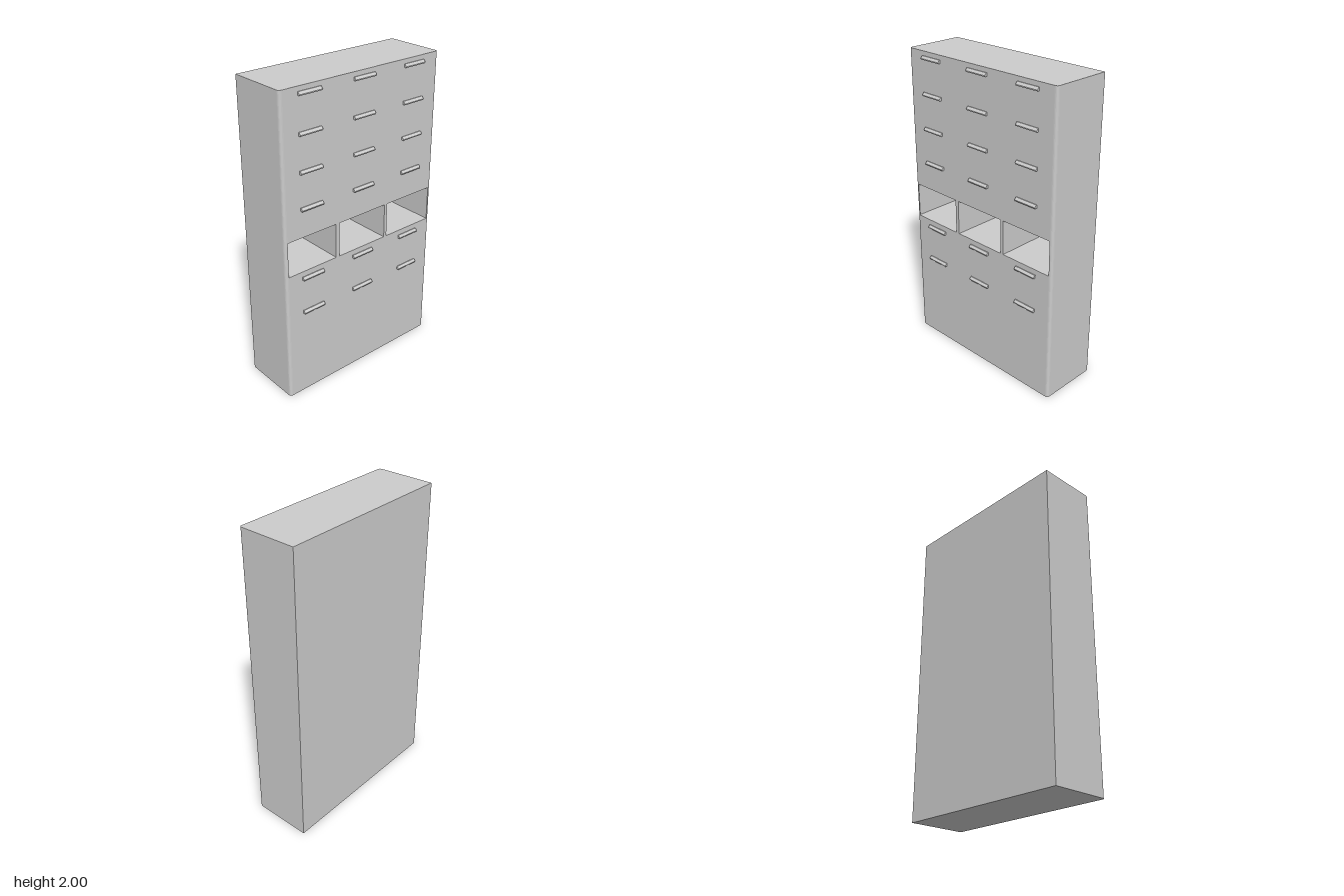
import * as THREE from 'three';

const LEFT = -0.597, RIGHT = 0.595, BACK = -0.205, FRONT = 0.188;
const HEIGHT = 2, NICHE_BOTTOM = 0.87, NICHE_TOP = 1.097, NICHE_BACK = -0.202;
const NICHES = [[-0.583, -0.215], [-0.19, 0.183], [0.205, 0.576]];

const material = new THREE.MeshStandardMaterial({ color: 0xcccccc, flatShading: true });

// Cabinet plan with rounded front corners, optionally notched by the niches.
// Shape y is -z, so that the extrusion can be turned upright.
function planShape(notched) {
  const r = 0.02, s = new THREE.Shape();
  s.moveTo(RIGHT, -BACK);
  s.lineTo(LEFT, -BACK);
  s.lineTo(LEFT, -FRONT + r);
  s.quadraticCurveTo(LEFT, -FRONT, LEFT + r, -FRONT);
  if (notched) {
    for (const [a, b] of NICHES) {
      // keep the outer walls inside the rounded corners
      const x0 = Math.max(a, LEFT + r + 0.001), x1 = Math.min(b, RIGHT - r - 0.001);
      s.lineTo(x0, -FRONT);
      s.lineTo(a, -FRONT + 0.004);
      s.lineTo(a, -NICHE_BACK);
      s.lineTo(b, -NICHE_BACK);
      s.lineTo(b, -FRONT + 0.004);
      s.lineTo(x1, -FRONT);
    }
  }
  s.lineTo(RIGHT - r, -FRONT);
  s.quadraticCurveTo(RIGHT, -FRONT, RIGHT, -FRONT + r);
  s.closePath();
  return s;
}

function section(name, y0, y1, notched) {
  const geo = new THREE.ExtrudeGeometry(planShape(notched), {
    depth: y1 - y0, bevelEnabled: false, curveSegments: 5,
  });
  geo.rotateX(-Math.PI / 2).translate(0, y0, 0);
  const mesh = new THREE.Mesh(geo, material);
  mesh.name = name;
  return mesh;
}

// Drawer pull: small bar with a sloping upper face, profile in (z, y)
function handleGeometry(width) {
  const profile = new THREE.Shape([
    [-0.002, -0.011], [0.014, -0.011], [0.017, -0.007], [0.017, -0.003], [0.005, 0.011], [-0.002, 0.011],
  ].map(([z, y]) => new THREE.Vector2(z, y)));
  return new THREE.ExtrudeGeometry(profile, { depth: width, bevelEnabled: false })
    .rotateY(-Math.PI / 2).translate(width / 2, 0, 0);
}

export function createModel() {
  const model = new THREE.Group();
  model.name = 'drawerCabinet';

  // Carcass: closed base, row of open niches, closed upper part
  model.add(
    section('lowerBody', 0, NICHE_BOTTOM, false),
    section('nicheRow', NICHE_BOTTOM, NICHE_TOP, true),
    section('upperBody', NICHE_TOP, HEIGHT, false),
  );

  // Handles: three columns, four rows above the niches and two below
  const handles = new THREE.Group();
  handles.name = 'handles';
  const pull = handleGeometry(0.158);
  for (const y of [1.96, 1.733, 1.507, 1.28, 0.824, 0.589]) {
    for (const x of [-0.397, -0.002, 0.392]) {
      const handle = new THREE.Mesh(pull, material);
      handle.name = 'handle';
      handle.position.set(x, y, FRONT);
      handles.add(handle);
    }
  }
  model.add(handles);
  return model;
}
